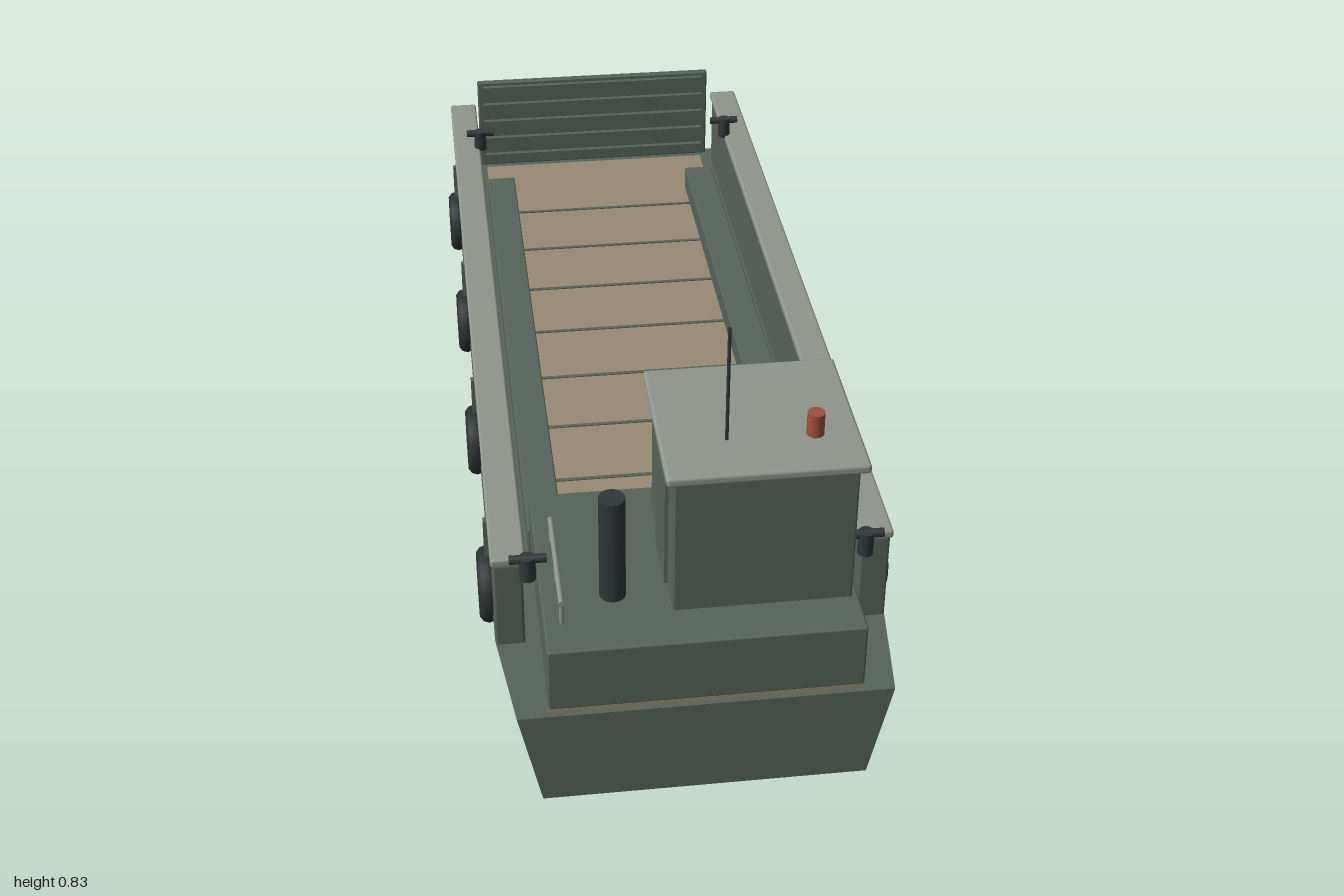
import * as THREE from 'three';
import { RoundedBoxGeometry } from 'three/addons/geometries/RoundedBoxGeometry.js';

const mat = (name, color, extra = {}) => {
  const m = new THREE.MeshStandardMaterial({ color, ...extra });
  m.name = name;
  return m;
};

// Hull lofted through four-cornered sections: [z, top half width, bottom half width, keel y]
function hullGeometry() {
  const sections = [
    [1, 0.325, 0.285, 0.002],
    [0.8, 0.35, 0.303, 0.005],
    [-0.72, 0.35, 0.303, 0.03],
    [-1, 0.31, 0.285, 0.08],
  ].map(([z, t, b, y]) => {
    const top = 0.195 - 0.004 * z;
    return [[t, top, z], [-t, top, z], [-b, y, z], [b, y, z]];
  });
  const pos = [];
  const tri = (...pts) => pts.forEach((p) => pos.push(...p));
  for (let s = 0; s < sections.length - 1; s++) {
    const a = sections[s], b = sections[s + 1];
    for (let i = 0; i < 4; i++) {
      const j = (i + 1) % 4;
      tri(a[i], b[i], b[j]);
      tri(a[i], b[j], a[j]);
    }
  }
  const f = sections[0], e = sections[sections.length - 1];
  tri(f[0], f[1], f[2]);
  tri(f[0], f[2], f[3]);
  tri(e[0], e[2], e[1]);
  tri(e[0], e[3], e[2]);
  const g = new THREE.BufferGeometry();
  g.setAttribute('position', new THREE.Float32BufferAttribute(pos, 3));
  g.computeVertexNormals();
  return g;
}

export function createModel() {
  const model = new THREE.Group();
  model.name = 'landingBarge';

  const green = mat('hullGreen', 0x57645a);
  const pale = mat('paleGrey', 0x8f968d);
  const tan = mat('deckTan', 0x988b76);
  const glass = mat('windowGlass', 0x1f4558);
  const dark = mat('darkMetal', 0x30383a);
  const rubber = mat('tyreRubber', 0x2c3132);
  const red = mat('beaconRed', 0xa0503e);

  const add = (name, geometry, material, x = 0, y = 0, z = 0) => {
    const mesh = new THREE.Mesh(geometry, material);
    mesh.name = name;
    mesh.position.set(x, y, z);
    model.add(mesh);
    return mesh;
  };
  // Box given by its limits on each axis, with optional softened edges
  const box = (name, material, [x0, x1], [y0, y1], [z0, z1], r = 0) => {
    const size = [x1 - x0, y1 - y0, z1 - z0];
    const g = r ? new RoundedBoxGeometry(...size, 2, r) : new THREE.BoxGeometry(...size);
    return add(name, g, material, (x0 + x1) / 2, (y0 + y1) / 2, (z0 + z1) / 2);
  };
  const rod = (name, material, r, x, y0, y1, z, sides = 20) =>
    add(name, new THREE.CylinderGeometry(r, r, y1 - y0, sides), material, x, (y0 + y1) / 2, z);
  // Limits mirrored to either side
  const side = (s, a, b) => (s > 0 ? [a, b] : [-b, -a]);

  add('hull', hullGeometry(), green);

  // Planked cargo deck with seams
  box('cargoDeck', tan, [-0.27, 0.27], [0.19, 0.205], [-0.955, 0.992]);
  for (let i = 0; i < 8; i++) {
    const z = -0.71 + i * 0.179;
    box('deckSeam', green, [-0.212, 0.212], [0.203, 0.207], [z - 0.004, z + 0.004]);
  }

  // Tyre fender, a squat ring with its axis across the boat
  const tyre = new THREE.TorusGeometry(0.052, 0.018, 10, 28);
  tyre.rotateY(Math.PI / 2);

  for (const s of [1, -1]) {
    // Side walls, cap rails and inner ledges
    box('sideWall', green, side(s, 0.297, 0.349), [0.185, 0.368], [-0.945, 0.81], 0.005);
    box('capRail', pale, side(s, 0.292, 0.353), [0.368, 0.385], [-0.95, 0.815], 0.005);
    box('innerLedge', green, side(s, 0.21, 0.275), [0.19, 0.255], [-0.8, 0.575], 0.003);

    for (const z of [0.67, 0.222, -0.225, -0.67]) {
      add('tyreFender', tyre, rubber, s * 0.356, 0.215, z);
      box('fenderStrap', green, side(s, 0.346, 0.359), [0.275, 0.362], [z - 0.007, z + 0.007]);
    }

    // Mooring bollards
    for (const z of [0.86, -0.72]) {
      rod('bollardPost', dark, 0.014, s * 0.291, 0.38, 0.426, z, 16);
      const bar = rod('bollardBar', dark, 0.008, s * 0.29, -0.032, 0.032, z, 12);
      bar.rotation.z = Math.PI / 2;
      bar.position.y = 0.421;
    }
  }

  // Bow ramp with stiffening ribs on the inside
  box('bowRamp', green, [-0.285, 0.285], [0.208, 0.435], [-0.977, -0.96], 0.004);
  for (let i = 0; i < 5; i++) {
    const y = 0.235 + i * 0.046;
    box('rampRib', green, [-0.272, 0.272], [y - 0.007, y + 0.007], [-0.962, -0.948]);
  }

  // Engine casing and wheelhouse
  box('engineCasing', green, [-0.271, 0.271], [0.205, 0.331], [0.568, 0.998], 0.004);
  box('wheelhouse', green, [-0.05, 0.26], [0.325, 0.6], [0.62, 0.915], 0.004);
  box('wheelhouseRoof', pale, [-0.064, 0.276], [0.597, 0.615], [0.603, 0.925], 0.006);
  box('wheelhouseDoor', green, [-0.056, -0.048], [0.333, 0.55], [0.73, 0.845]);
  box('sideWindow', glass, [0.258, 0.266], [0.445, 0.548], [0.66, 0.858]);
  for (const x of [0.172, 0.036])
    box('forwardWindow', glass, [x - 0.063, x + 0.063], [0.445, 0.548], [0.612, 0.621]);

  // Roof fittings and exhaust
  rod('antenna', dark, 0.003, 0.05, 0.61, 0.836, 0.825, 8);
  rod('beacon', red, 0.015, 0.2, 0.612, 0.658, 0.825);
  rod('exhaustStack', dark, 0.023, -0.147, 0.328, 0.538, 0.86, 24);

  // Handrail on the engine casing
  for (const z of [0.705, 0.815, 0.925]) rod('handrailPost', pale, 0.004, -0.24, 0.328, 0.378, z, 8);
  const rail = rod('handrailBar', pale, 0.005, -0.24, -0.115, 0.115, 0.815, 8);
  rail.rotation.x = Math.PI / 2;
  rail.position.y = 0.377;

  return model;
}
